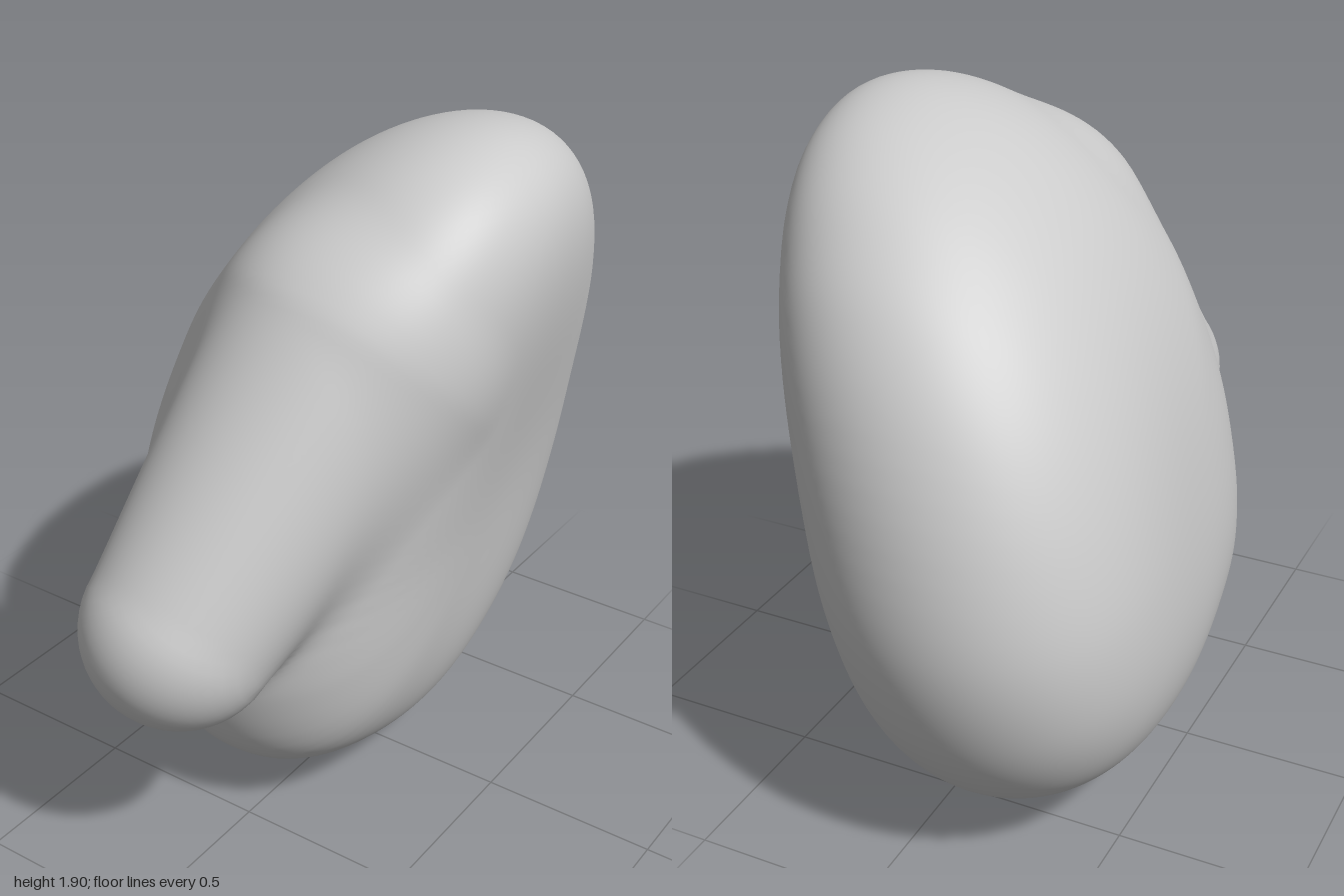
import * as THREE from 'three';
import { mergeVertices } from 'three/addons/utils/BufferGeometryUtils.js';

// Side outline of the rounded slab as (z, y), without the beak
const OUTLINE = [
  [0.6, 0.8], [0.57, 1.1], [0.49, 1.4], [0.4, 1.63], [0.27, 1.76],
  [0.09, 1.86], [-0.14, 1.9], [-0.38, 1.86], [-0.56, 1.77], [-0.7, 1.65], [-0.8, 1.53],
  [-0.9, 1.34], [-0.98, 1.05], [-1, 0.75], [-0.94, 0.5], [-0.84, 0.32], [-0.7, 0.18],
  [-0.46, 0.06], [-0.12, 0], [0.22, 0.06], [0.5, 0.21], [0.6, 0.45],
];
const SLAB = { z: -0.15, y: 0.9, half: 0.49 };

// The outline as radius by angle around the slab's centre
const RIM = new THREE.CatmullRomCurve3(
  OUTLINE.map(([z, y]) => new THREE.Vector3(0, y - SLAB.y, z - SLAB.z)), true)
  .getPoints(100).slice(0, 100)
  .map((p) => ({ angle: Math.atan2(p.y, p.z), radius: Math.hypot(p.y, p.z) }))
  .sort((a, b) => a.angle - b.angle);

function rimRadius(angle) {
  const found = RIM.findIndex((p) => p.angle > angle);
  const next = found < 0 ? 0 : found;
  const a = RIM[(next + RIM.length - 1) % RIM.length], b = RIM[next];
  const turn = (v) => (v + 2 * Math.PI) % (2 * Math.PI);
  return THREE.MathUtils.lerp(a.radius, b.radius, turn(angle - a.angle) / turn(b.angle - a.angle));
}

// Slab around a leaning, slightly curved middle sheet: negative inside
function slab({ x, y, z }) {
  const d = y - 0.95;
  const sheet = -0.05 + 0.2 * d + 0.17 * d * d + 0.1 * z;
  const dy = y - SLAB.y, dz = z - SLAB.z;
  const rho = Math.hypot(dy, dz) / rimRadius(Math.atan2(dy, dz));
  return 0.5 * (Math.hypot(rho ** 1.7, (x - sheet) / SLAB.half) - 1);
}

// Beak: a tapering round ridge running down the front to a blunt tip
const RIDGE_TOP = new THREE.Vector3(0.14, 1.38, 0.2);
const RIDGE_TIP = new THREE.Vector3(-0.01, 0.77, 0.74);
const ridge = new THREE.Line3(RIDGE_TOP, RIDGE_TIP);
const nearest = new THREE.Vector3();
function beak(p) {
  const t = ridge.closestPointToPointParameter(p, true);
  return p.distanceTo(ridge.at(t, nearest)) - THREE.MathUtils.lerp(0.36, 0.26, t);
}

// Slab and beak melted together
function solid(p) {
  const a = slab(p), b = beak(p), blend = 0.07;
  const h = Math.max(blend - Math.abs(a - b), 0) / blend;
  return Math.min(a, b) - h * h * blend / 4;
}

// Push every vertex of a fine ball out to the surface of the solid
function bodyGeometry() {
  const ball = new THREE.IcosahedronGeometry(1, 40);
  ball.deleteAttribute('normal');
  ball.deleteAttribute('uv');
  const geometry = mergeVertices(ball, 1e-5);
  const position = geometry.attributes.position;
  const centre = new THREE.Vector3(0, 0.85, -0.05);
  const direction = new THREE.Vector3(), point = new THREE.Vector3();
  for (let i = 0; i < position.count; i++) {
    direction.fromBufferAttribute(position, i);
    let inside = 0, outside = 1.6;
    for (let step = 0; step < 20; step++) {
      const middle = (inside + outside) / 2;
      point.copy(centre).addScaledVector(direction, middle);
      if (solid(point) < 0) inside = middle;
      else outside = middle;
    }
    position.setXYZ(i, point.x, point.y, point.z);
  }
  geometry.computeVertexNormals();
  return geometry;
}

export function createModel() {
  const group = new THREE.Group();
  group.name = 'beakedPebble';
  const body = new THREE.Mesh(
    bodyGeometry(), new THREE.MeshStandardMaterial({ color: 0xcccccc }));
  body.name = 'body';
  group.add(body);
  return group;
}
